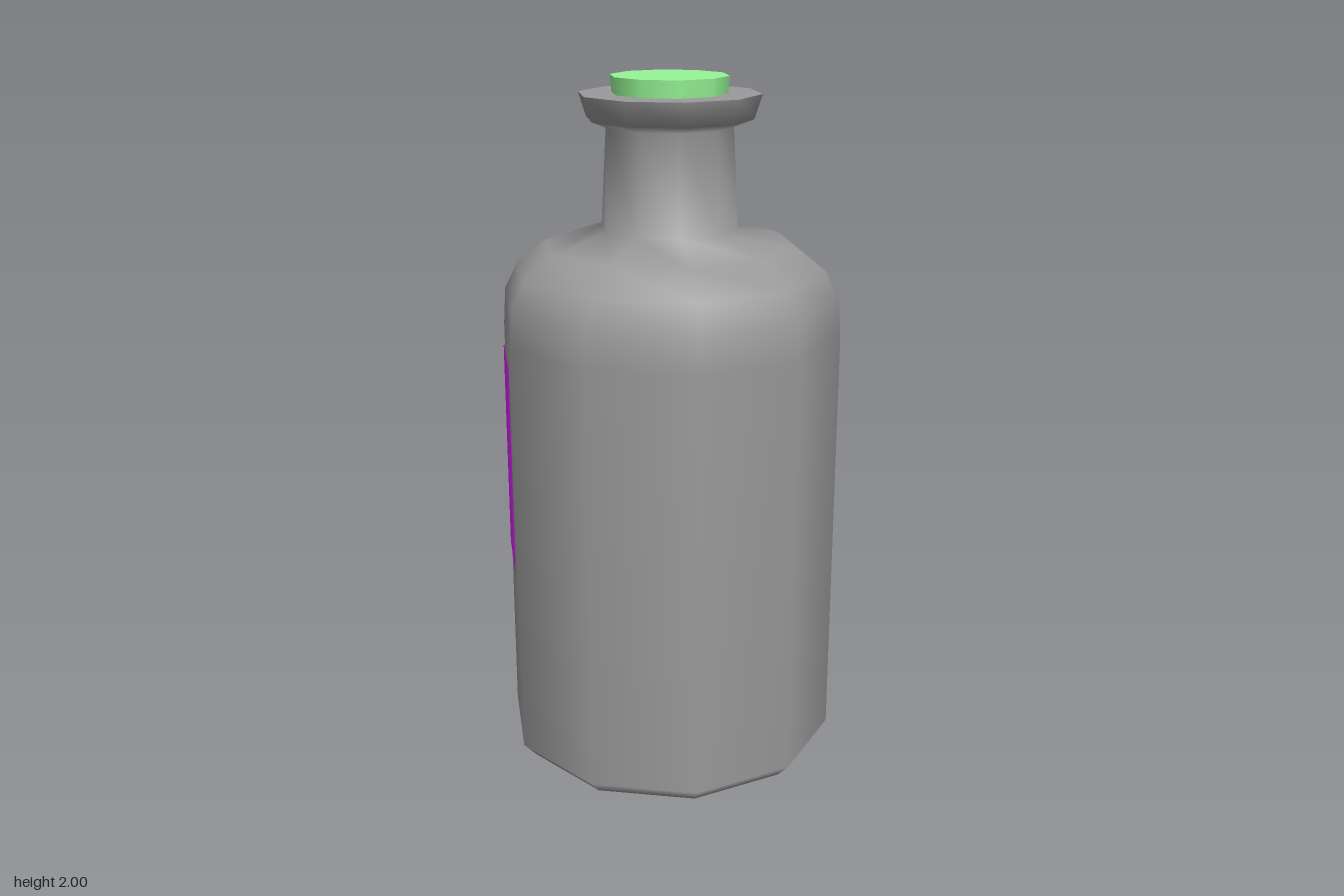
import * as THREE from 'three';

const SIDES = 10;
const pts = (list) => list.map(([r, y]) => new THREE.Vector2(r, y));

// Ten-sided turned part with a corner on the x axis
function turned(name, profile, material) {
  const geo = new THREE.LatheGeometry(pts(profile), SIDES, Math.PI / 2);
  const mesh = new THREE.Mesh(geo, material);
  mesh.name = name;
  return mesh;
}

export function createModel() {
  const glass = new THREE.MeshStandardMaterial({ color: 0x9a9a9a });
  const green = new THREE.MeshStandardMaterial({ color: 0x96f696 });
  const purple = new THREE.MeshStandardMaterial({ color: 0xd920f5, side: THREE.DoubleSide });
  const model = new THREE.Group();
  model.name = 'bottle';

  // Closed base, straight wall, rounded shoulder, neck and flared lip
  model.add(turned('bottleBody', [
    [0, 0], [0.455, 0], [0.493, 0.042], [0.493, 1.28], [0.486, 1.385],
    [0.447, 1.465], [0.36, 1.533], [0.196, 1.58], [0.18, 1.862],
    [0.236, 1.884], [0.258, 1.952],
  ], glass));

  // Flat top of the lip
  model.add(turned('lipTop', [[0.258, 1.952], [0.12, 1.952]], glass));

  // Stopper: tapered side and flat top
  const stopper = new THREE.Group();
  stopper.name = 'stopper';
  stopper.add(turned('stopperSide', [[0.158, 1.9], [0.167, 2]], green));
  stopper.add(turned('stopperTop', [[0.167, 2], [0, 2]], green));
  model.add(stopper);

  // Label wrapped round the -x side, its ends trimmed part way along a facet
  const step = (2 * Math.PI) / SIDES;
  const labelGeo = new THREE.LatheGeometry(
    pts([[0.497, 0.58], [0.497, 1.21]]), 4, 1.5 * Math.PI - 2 * step, 4 * step);
  const pos = labelGeo.attributes.position;
  for (const i of [0, 1, 8, 9]) {
    pos.setX(i, -0.2);
    pos.setZ(i, Math.sign(pos.getZ(i)) * 0.439);
  }
  const label = new THREE.Mesh(labelGeo, purple);
  label.name = 'label';
  model.add(label);

  return model;
}
